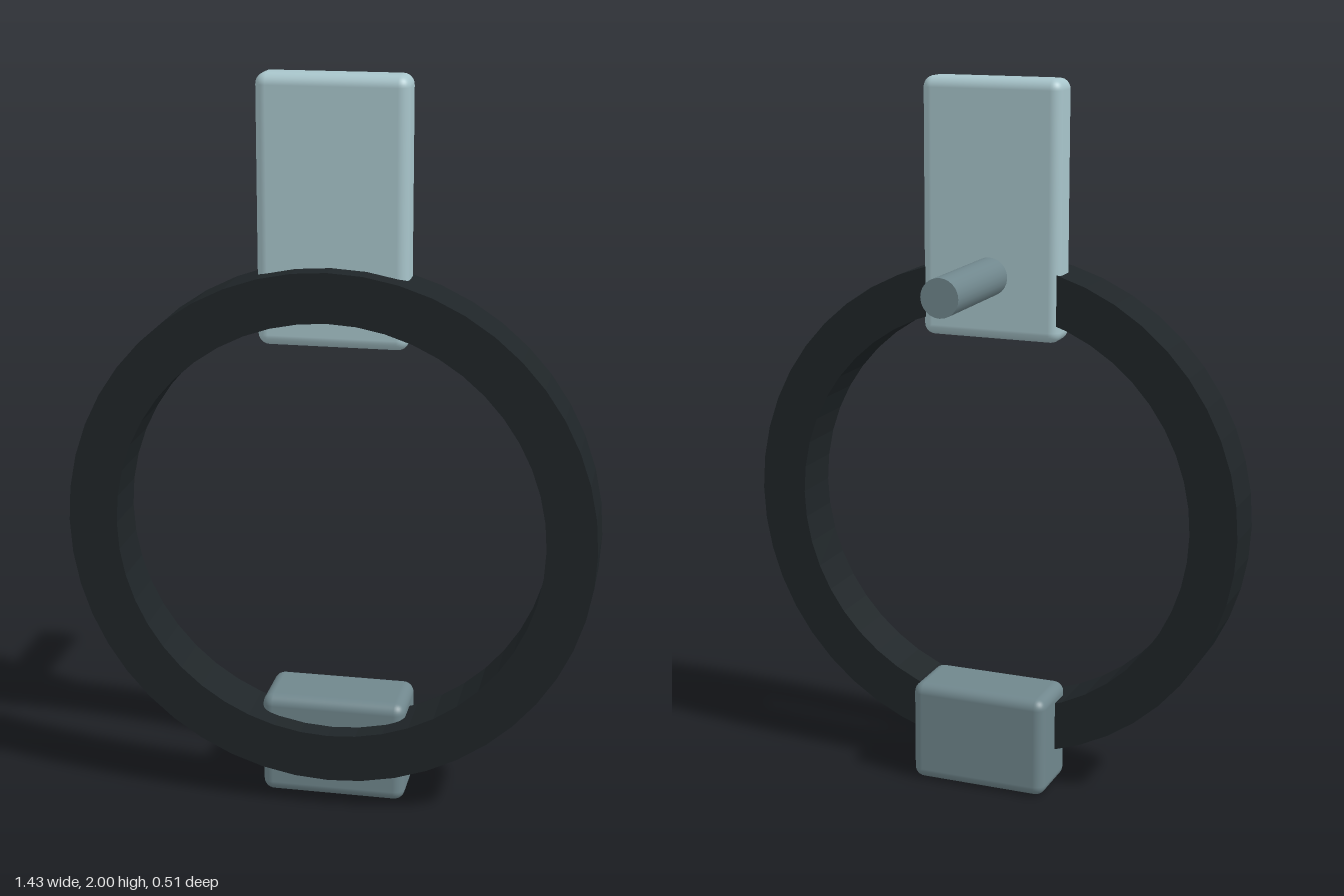
import * as THREE from 'three';
import { RoundedBoxGeometry } from 'three/addons/geometries/RoundedBoxGeometry.js';

const paint = (color) => new THREE.MeshStandardMaterial({ color });

export function createModel() {
  const group = new THREE.Group();
  const pale = paint(0xa8c5cb);
  const slate = paint(0x70878d);
  const dark = paint(0x1f2528);
  dark.flatShading = true;

  function add(name, geometry, material, y, z) {
    const mesh = new THREE.Mesh(geometry, material);
    mesh.name = name;
    mesh.position.set(0, y, z);
    group.add(mesh);
    return mesh;
  }

  // Ring: rectangular section turned around the z axis
  const outer = 0.713, inner = 0.58, half = 0.0775;
  const section = [
    [inner, -half], [outer, -half], [outer, half], [inner, half], [inner, -half],
  ].map(([r, h]) => new THREE.Vector2(r, h));
  const ring = add('ring', new THREE.LatheGeometry(section, 48), dark, 0.795, 0.1775);
  ring.rotation.x = Math.PI / 2;

  // Upright plate and lower block, both with softened edges
  add('topPlate', new RoundedBoxGeometry(0.4, 0.708, 0.105, 4, 0.03), pale, 1.646, 0.1435);
  add('bottomBlock', new RoundedBoxGeometry(0.4, 0.29, 0.196, 4, 0.03), slate, 0.145, 0.098);

  // Rod reaching back from the plate
  const rod = add('mountingRod', new THREE.CylinderGeometry(0.053, 0.053, 0.385, 24), slate, 1.467, -0.0625);
  rod.rotation.x = Math.PI / 2;

  return group;
}
